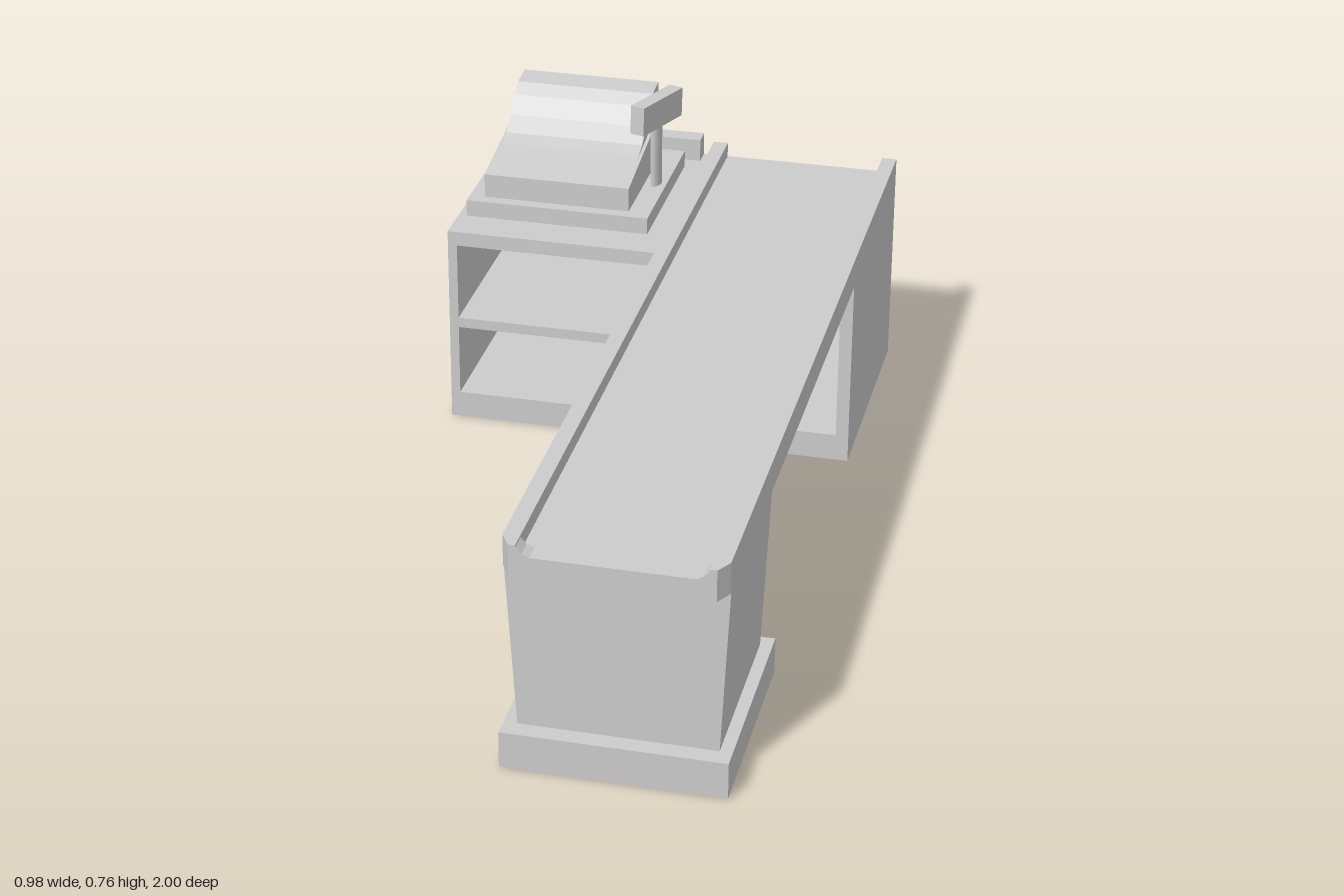
import * as THREE from 'three';

const material = new THREE.MeshStandardMaterial({ color: 0xcccccc, flatShading: true });

export function createModel() {
  const root = new THREE.Group();
  root.name = 'checkoutCounter';

  const add = (name, geometry, parent = root) => {
    const mesh = new THREE.Mesh(geometry, material);
    mesh.name = name;
    parent.add(mesh);
    return mesh;
  };
  // Box given by its limits on each axis
  const box = (name, x0, x1, y0, y1, z0, z1, parent) =>
    add(name, new THREE.BoxGeometry(x1 - x0, y1 - y0, z1 - z0)
      .translate((x0 + x1) / 2, (y0 + y1) / 2, (z0 + z1) / 2), parent);
  const outline = (points) => new THREE.Shape(points.map(([a, b]) => new THREE.Vector2(a, b)));
  const extrude = (shape, depth) =>
    new THREE.ExtrudeGeometry(shape, { depth, bevelEnabled: false });
  // Front (x, y) shape between two z values
  const alongZ = (name, shape, z0, z1, parent) =>
    add(name, extrude(shape, z1 - z0).translate(0, 0, z0), parent);
  // Plan (x, z) points between two heights
  const alongY = (name, points, y0, y1, parent) =>
    add(name, extrude(outline(points.map(([x, z]) => [x, -z])), y1 - y0)
      .rotateX(-Math.PI / 2).translate(0, y0, 0), parent);
  // Side (z, y) points between two x values
  const alongX = (name, points, x0, x1, parent) =>
    add(name, extrude(outline(points.map(([z, y]) => [-z, y])), x1 - x0)
      .rotateY(Math.PI / 2).translate(x0, 0, 0), parent);

  // Cabinet with two shelves and one tall bay under the belt
  const cabinet = new THREE.Group();
  cabinet.name = 'cabinet';
  root.add(cabinet);
  const face = outline([[-0.49, 0], [0.48, 0], [0.48, 0.455], [0.025, 0.455], [0.025, 0.49], [-0.49, 0.49]]);
  for (const [x0, x1, y0, y1] of [
    [-0.468, 0, 0.065, 0.24], [-0.468, 0, 0.265, 0.455], [0.027, 0.45, 0.065, 0.45],
  ]) {
    face.holes.push(outline([[x0, y0], [x0, y1], [x1, y1], [x1, y0]]));
  }
  alongZ('cabinetShell', face, -0.975, -0.415, cabinet);
  box('cabinetBack', -0.49, 0.48, 0, 0.455, -1, -0.975, cabinet);
  box('cabinetBackTop', -0.49, 0.025, 0.455, 0.49, -1, -0.975, cabinet);
  box('rearLedge', -0.468, 0, 0.49, 0.545, -1, -0.955, cabinet);

  // Long conveyor top with chamfered front corners
  const conveyor = new THREE.Group();
  conveyor.name = 'conveyor';
  root.add(conveyor);
  const mid = 0.2525;
  alongY('conveyorBelt',
    [[0.025, -1], [0.48, -1], [0.48, 0.965], [0.46, 1], [0.045, 1], [0.025, 0.965]],
    0.455, 0.49, conveyor);
  box('frontRail', 0.06, 0.445, 0.49, 0.5, 0.96, 1, conveyor);
  for (const s of [-1, 1]) {
    const side = s < 0 ? 'right' : 'left';
    const at = (d) => mid + s * d;
    alongY(side + 'Rail',
      [[at(0.2275), -1], [at(0.1925), -1], [at(0.1925), 1], [at(0.2075), 1], [at(0.2275), 0.965]],
      0.49, 0.525, conveyor);
    alongZ(side + 'RailRamp',
      outline([[at(0.1925), 0.5], [at(0.1925), 0.52], [at(0.18), 0.507], [at(0.165), 0.5]]),
      0.96, 1, conveyor);
  }

  // Front pedestal, narrower at the foot
  alongZ('pedestal', outline([[0.048, 0.08], [0.463, 0.08], [0.48, 0.455], [0.025, 0.455]]), 0.555, 0.96);
  box('pedestalBase', 0.019, 0.49, 0.003, 0.085, 0.525, 1);

  // Cash register
  const register = new THREE.Group();
  register.name = 'cashRegister';
  root.add(register);
  box('registerBase', -0.47, -0.03, 0.49, 0.53, -0.915, -0.51, register);
  alongX('registerBody',
    [[-0.54, 0.53], [-0.54, 0.588], [-0.885, 0.648], [-0.885, 0.53]], -0.433, -0.082, register);
  alongX('registerHood',
    [[-0.6, 0.55], [-0.6, 0.596], [-0.675, 0.613], [-0.71, 0.626], [-0.75, 0.656],
      [-0.79, 0.692], [-0.82, 0.714], [-0.882, 0.72], [-0.882, 0.55]], -0.425, -0.09, register);

  // Customer display on an oval post
  const display = new THREE.Group();
  display.name = 'customerDisplay';
  display.position.set(-0.055, 0, -0.71);
  display.rotation.y = -0.318;
  register.add(display);
  const post = add('displayPost', new THREE.CylinderGeometry(0.02, 0.02, 0.17, 20), display);
  post.material = material.clone();
  post.material.flatShading = false;
  post.scale.x = 0.55;
  post.position.y = 0.61;
  const head = add('displayHead', new THREE.BoxGeometry(0.036, 0.07, 0.176), display);
  head.position.y = 0.72;
  head.rotation.x = -0.05;

  return root;
}
